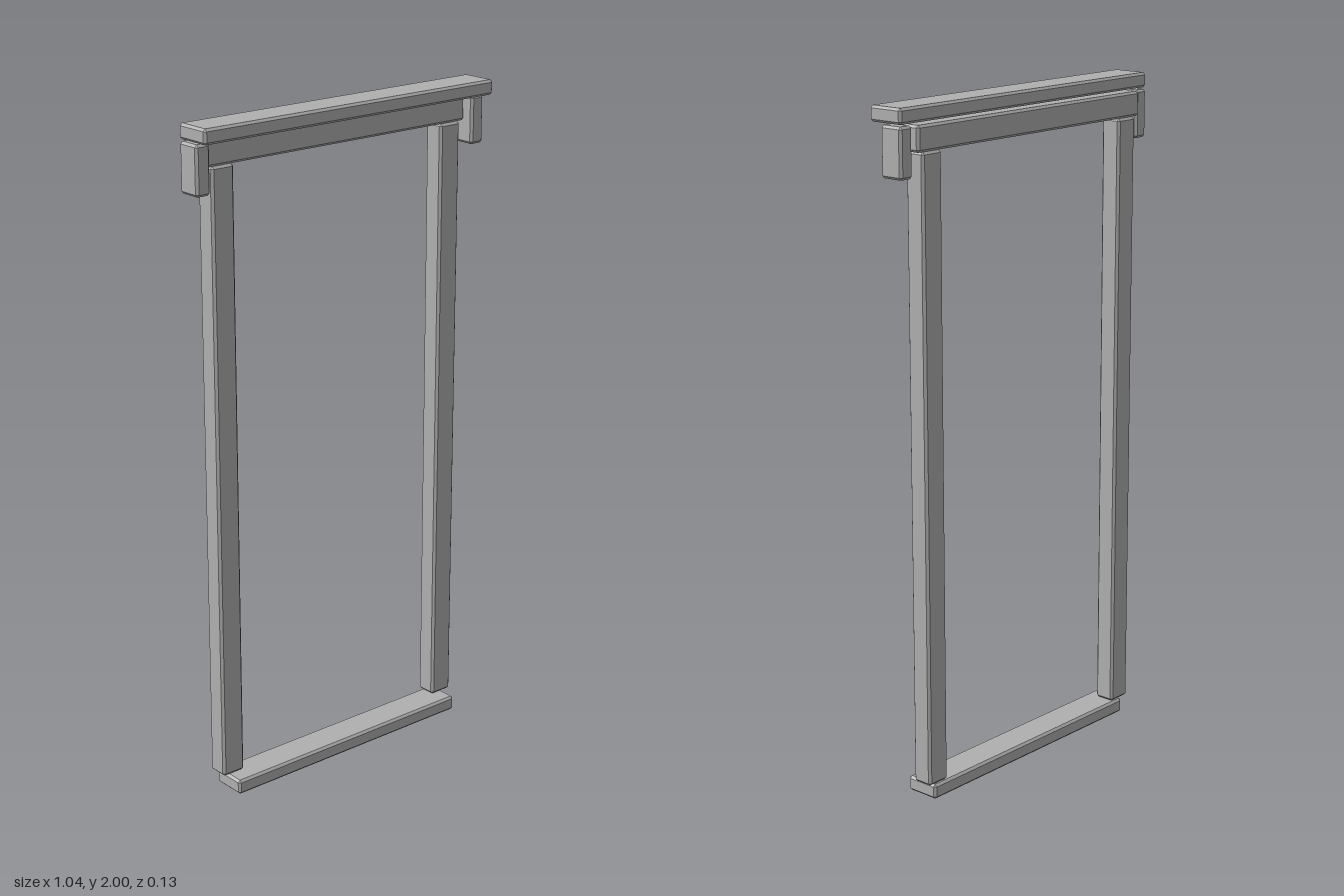
import * as THREE from 'three';
import { ConvexGeometry } from 'three/addons/geometries/ConvexGeometry.js';

// Box with every edge chamfered by c, given by its min and max on each axis
function chamferedBox([x0, x1], [y0, y1], [z0, z1], c = 0.007) {
  const half = [(x1 - x0) / 2, (y1 - y0) / 2, (z1 - z0) / 2];
  const points = [];
  for (const sx of [-1, 1]) for (const sy of [-1, 1]) for (const sz of [-1, 1]) {
    for (let axis = 0; axis < 3; axis++) {
      const p = half.map((h, i) => (i === axis ? h : h - c));
      points.push(new THREE.Vector3(p[0] * sx, p[1] * sy, p[2] * sz));
    }
  }
  const geometry = new ConvexGeometry(points);
  geometry.translate((x0 + x1) / 2, (y0 + y1) / 2, (z0 + z1) / 2);
  return geometry;
}

export function createModel() {
  const group = new THREE.Group();
  group.name = 'openingSurround';
  const stone = new THREE.MeshStandardMaterial({ color: 0xb0b0b0 });
  stone.name = 'grey stone';

  const add = (name, x, y, z) => {
    const mesh = new THREE.Mesh(chamferedBox(x, y, z), stone);
    mesh.name = name;
    group.add(mesh);
  };

  // Horizontal members
  add('cornice', [-0.521, 0.521], [1.956, 2], [-0.05, 0.064]);
  add('header', [-0.469, 0.469], [1.878, 1.951], [-0.064, 0]);
  add('sill', [-0.429, 0.429], [0, 0.045], [-0.062, 0.044]);

  // Mirrored posts and the brackets under the cornice ends
  for (const [side, s] of [['left', 1], ['right', -1]]) {
    const span = (a, b) => (s > 0 ? [a, b] : [-b, -a]);
    add(side + 'Post', span(0.376, 0.452), [0.05, 1.878], [-0.064, 0]);
    add(side + 'Bracket', span(0.474, 0.521), [1.809, 1.951], [-0.05, 0.025]);
  }
  return group;
}
